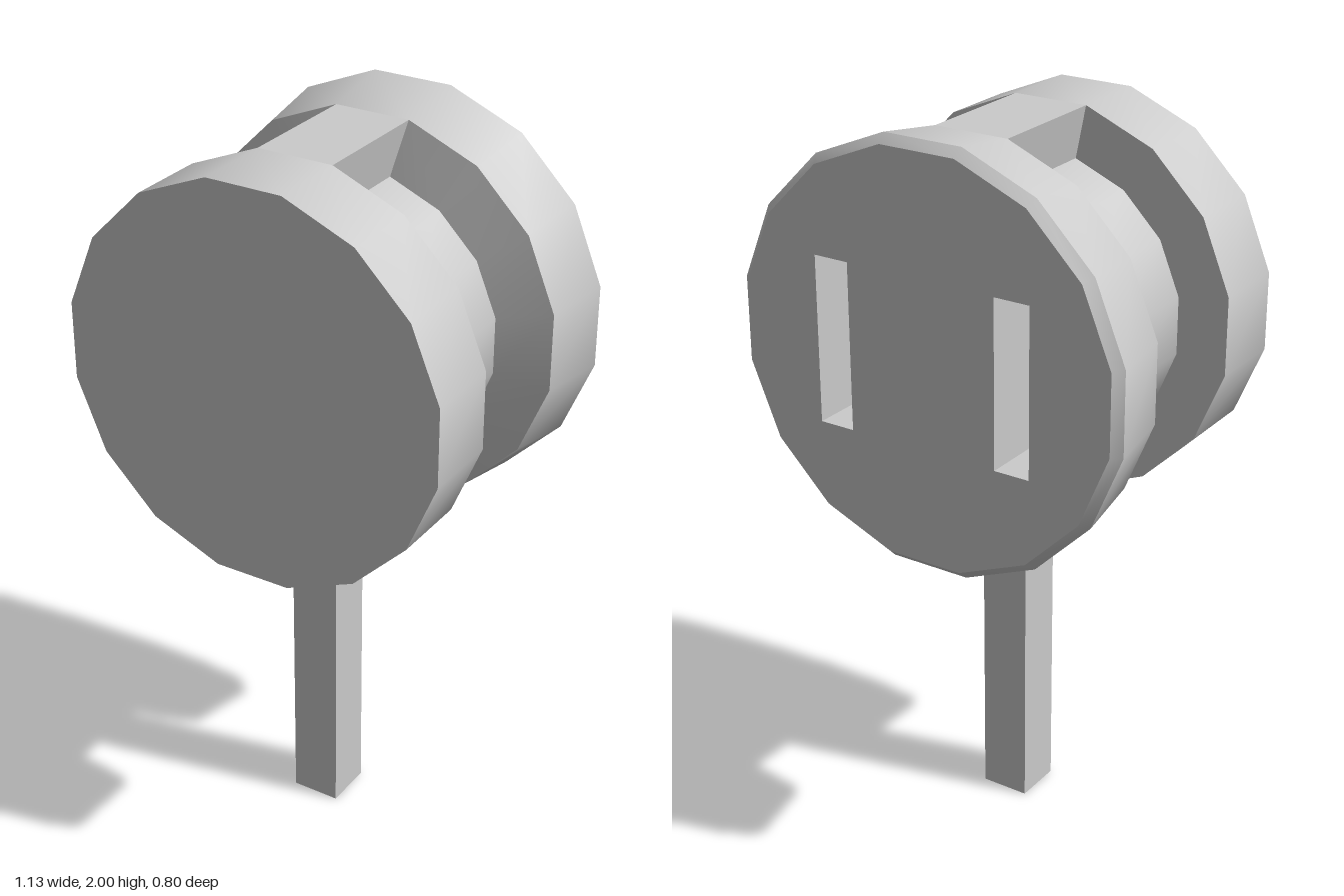
import * as THREE from 'three';
import { toCreasedNormals } from 'three/addons/utils/BufferGeometryUtils.js';

const SIDES = 16;
const CENTER_Y = 1.437;
const FLAT = Math.cos(Math.PI / SIDES); // flat-to-centre distance over corner radius

export function createModel() {
  const group = new THREE.Group();
  const material = new THREE.MeshStandardMaterial({ color: 0xcccccc });

  const add = (name, geometry, x, y, z) => {
    const mesh = new THREE.Mesh(geometry, material);
    mesh.name = name;
    mesh.position.set(x, y, z);
    group.add(mesh);
    return mesh;
  };

  // Spool-shaped body: [flat radius, z], running from back to front
  const profile = [
    [0.5, -0.4], [0.54, -0.4], [0.563, -0.375], [0.532, -0.175], [0.39, -0.135],
    [0.39, 0.18], [0.532, 0.18], [0.532, 0.4], [0, 0.4],
  ].map(([r, z]) => new THREE.Vector2(r / FLAT, z));
  const body = new THREE.LatheGeometry(profile, SIDES, Math.PI / SIDES);
  body.rotateX(Math.PI / 2);
  add('body', toCreasedNormals(body, 0.45), 0, CENTER_Y, 0);

  // Back face with two upright slots
  const corners = Array.from({ length: SIDES }, (_, i) => {
    const a = ((i + 0.5) / SIDES) * Math.PI * 2;
    return new THREE.Vector2(Math.cos(a), Math.sin(a)).multiplyScalar(0.5 / FLAT);
  });
  const face = new THREE.Shape(corners);
  const slotX = 0.266, slotW = 0.1, slotH = 0.45, slotDepth = 0.2;
  for (const side of [-1, 1]) {
    const l = side * slotX - slotW / 2, r = l + slotW, h = slotH / 2;
    face.holes.push(new THREE.Path([
      new THREE.Vector2(l, -h), new THREE.Vector2(l, h),
      new THREE.Vector2(r, h), new THREE.Vector2(r, -h),
    ]));
    // Slot floor
    add(side > 0 ? 'leftSlotFloor' : 'rightSlotFloor',
      new THREE.BoxGeometry(slotW, slotH, 0.02), side * slotX, CENTER_Y, -0.4 + slotDepth + 0.01);
  }
  add('slottedBackFace',
    new THREE.ExtrudeGeometry(face, { depth: slotDepth, bevelEnabled: false }), 0, CENTER_Y, -0.4);

  // Bridge joining the two discs across the top of the groove
  const t = Math.tan(Math.PI / SIDES);
  const bridge = new THREE.Shape([
    new THREE.Vector2(-0.38 * t, 0.38), new THREE.Vector2(0.38 * t, 0.38),
    new THREE.Vector2(0.532 * t, 0.532), new THREE.Vector2(-0.532 * t, 0.532),
  ]);
  add('topBridge',
    new THREE.ExtrudeGeometry(bridge, { depth: 0.355, bevelEnabled: false }), 0, CENTER_Y, -0.175);

  // Square post under the groove
  add('post', new THREE.BoxGeometry(0.136, 1.06, 0.138), 0, 0.53, 0.036);

  return group;
}
